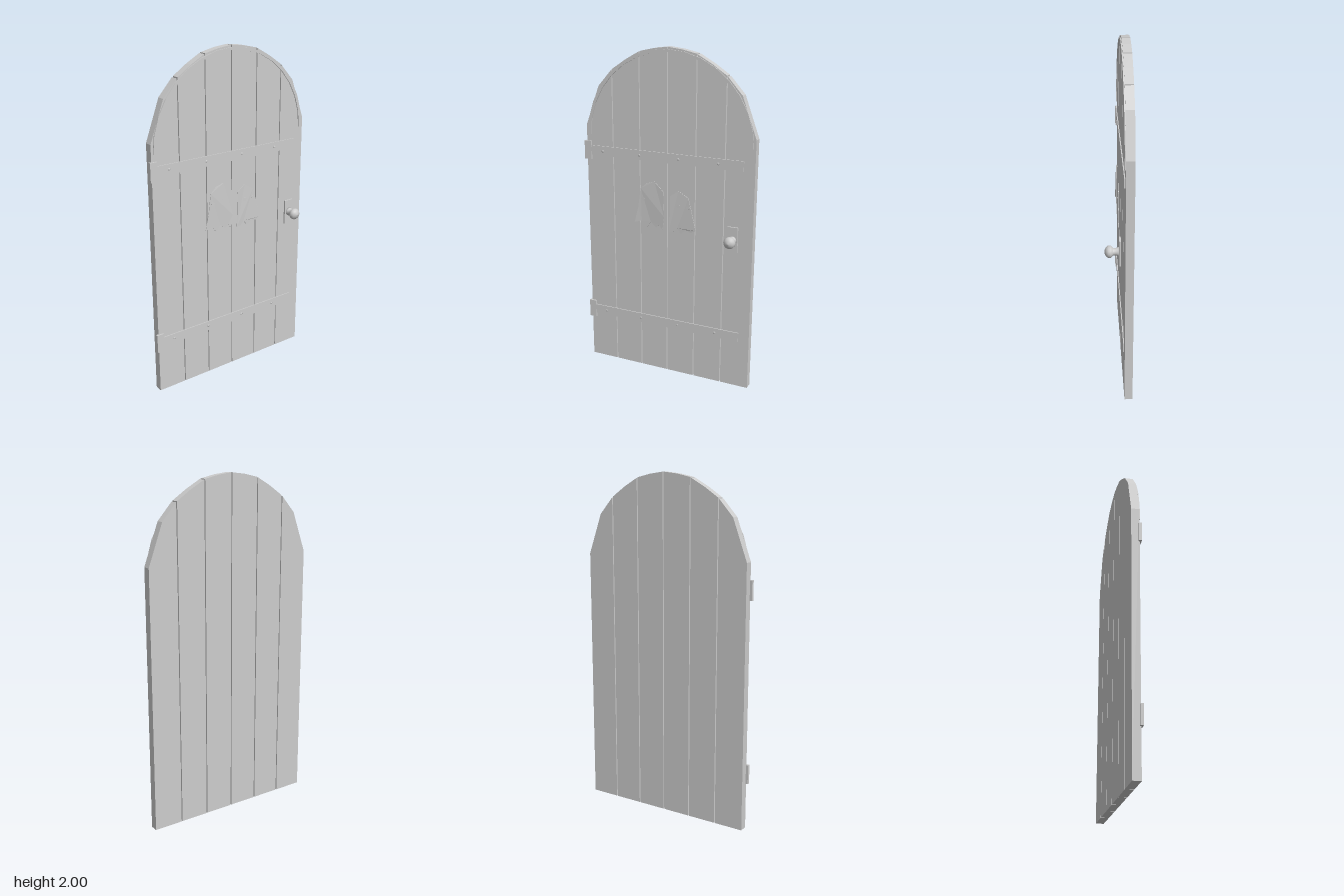
import * as THREE from 'three';

export function createModel() {
  const door = new THREE.Group();
  door.name = 'archedDoor';
  const grey = new THREE.MeshStandardMaterial({ color: 0xcccccc });
  grey.name = 'plain grey';

  const add = (name, geo, x = 0, y = 0, z = 0, parent = door) => {
    const mesh = new THREE.Mesh(geo, grey);
    mesh.name = name;
    mesh.position.set(x, y, z);
    parent.add(mesh);
    return mesh;
  };
  const extrude = (pts, depth) => new THREE.ExtrudeGeometry(
    new THREE.Shape(pts.map(([x, y]) => new THREE.Vector2(x, y))),
    { depth, bevelEnabled: false });

  // Arch height, faceted, as a function of distance from the centre line
  const cx = 0.005;
  const arch = [[0, 2], [0.085, 1.99], [0.175, 1.97], [0.265, 1.92], [0.355, 1.86], [0.445, 1.76], [0.532, 1.525]];
  const archY = (x) => {
    const d = Math.min(Math.abs(x - cx), 0.532);
    const i = Math.max(1, arch.findIndex((p) => p[0] >= d));
    const [a, b] = [arch[i - 1], arch[i]];
    return a[1] + (b[1] - a[1]) * (d - a[0]) / (b[0] - a[0]);
  };

  // Six upright planks following the arch
  const pitch = 1.064 / 6, gap = 0.003;
  for (let i = 0; i < 6; i++) {
    const left = cx - 0.532 + i * pitch + (i > 0 ? gap : 0);
    const right = cx - 0.532 + (i + 1) * pitch - (i < 5 ? gap : 0);
    const mid = (left + right) / 2;
    const pts = [[left, 0], [right, 0], [right, archY(right)], [mid, archY(mid)], [left, archY(left)]];
    add('plank' + (i + 1), extrude(pts, 0.047), 0, 0, -0.083);
  }

  // Thin arched trim on the front
  const arc = (rx, ry) => Array.from({ length: 17 }, (_, i) => {
    const a = Math.PI * i / 16;
    return [cx + rx * Math.cos(a), 1.47 + ry * Math.sin(a)];
  });
  add('archTrim', extrude([...arc(0.52, 0.518), ...arc(0.502, 0.503).reverse()], 0.007), 0, 0, -0.037);

  // Strap hinges with rivets
  for (const [name, y] of [['upper', 1.373], ['lower', 0.326]]) {
    const hinge = new THREE.Group();
    hinge.name = name + 'Hinge';
    hinge.position.y = y;
    door.add(hinge);
    add('strap', new THREE.BoxGeometry(0.968, 0.059, 0.008), -0.013, 0, -0.034, hinge);
    add('knuckle', new THREE.BoxGeometry(0.045, 0.112, 0.017), -0.518, 0, -0.034, hinge);
    for (const x of [-0.42, -0.175, 0.075, 0.32]) {
      const rivet = add('rivet', new THREE.SphereGeometry(0.008, 8, 6), x, 0, -0.03, hinge);
      rivet.scale.z = 0.3;
    }
  }

  // Two small gently curved ghost cut-outs with round eyes
  const ghost = (name, pts, eyes, mid) => {
    const group = new THREE.Group();
    group.name = name;
    door.add(group);
    const geo = extrude(pts, 0.003);
    const p = geo.attributes.position;
    for (let i = 0; i < p.count; i++) p.setZ(i, p.getZ(i) + 0.6 * (p.getX(i) - mid) ** 2);
    geo.computeVertexNormals();
    add('ghostBody', geo, 0, 0, -0.019, group);
    for (const [x, y] of eyes) {
      add('ghostEye', new THREE.CylinderGeometry(0.011, 0.011, 0.004, 12).rotateX(Math.PI / 2), x, y, -0.015, group);
    }
  };
  ghost('largeGhost', [
    [-0.2, 0.963], [-0.153, 0.979], [-0.122, 0.937], [-0.095, 0.979], [-0.058, 0.947], [-0.037, 0.968],
    [-0.016, 0.937], [-0.005, 1.02], [-0.011, 1.175], [-0.069, 1.228], [-0.122, 1.212], [-0.159, 1.18], [-0.175, 1.063],
  ], [[-0.143, 1.116], [-0.077, 1.122]], -0.1);
  ghost('smallGhost', [
    [0.026, 0.937], [0.053, 0.937], [0.079, 0.963], [0.1, 0.931], [0.138, 0.958], [0.164, 0.947],
    [0.196, 0.963], [0.169, 1.074], [0.148, 1.153], [0.085, 1.19], [0.032, 1.153],
  ], [[0.085, 1.098], [0.145, 1.095]], 0.11);

  // Door knob on its back plate
  add('knobPlate', new THREE.BoxGeometry(0.062, 0.152, 0.01), 0.425, 0.944, -0.012);
  const profile = [[0, -0.01], [0.025, -0.008], [0.024, 0], [0.02, 0.01], [0.02, 0.025], [0.027, 0.031],
    [0.034, 0.038], [0.034, 0.052], [0.026, 0.063], [0.013, 0.07], [0, 0.073]];
  const knob = new THREE.LatheGeometry(profile.map(([r, h]) => new THREE.Vector2(r, h)), 20);
  add('doorKnob', knob.rotateX(Math.PI / 2), 0.427, 0.944, 0);

  return door;
}
